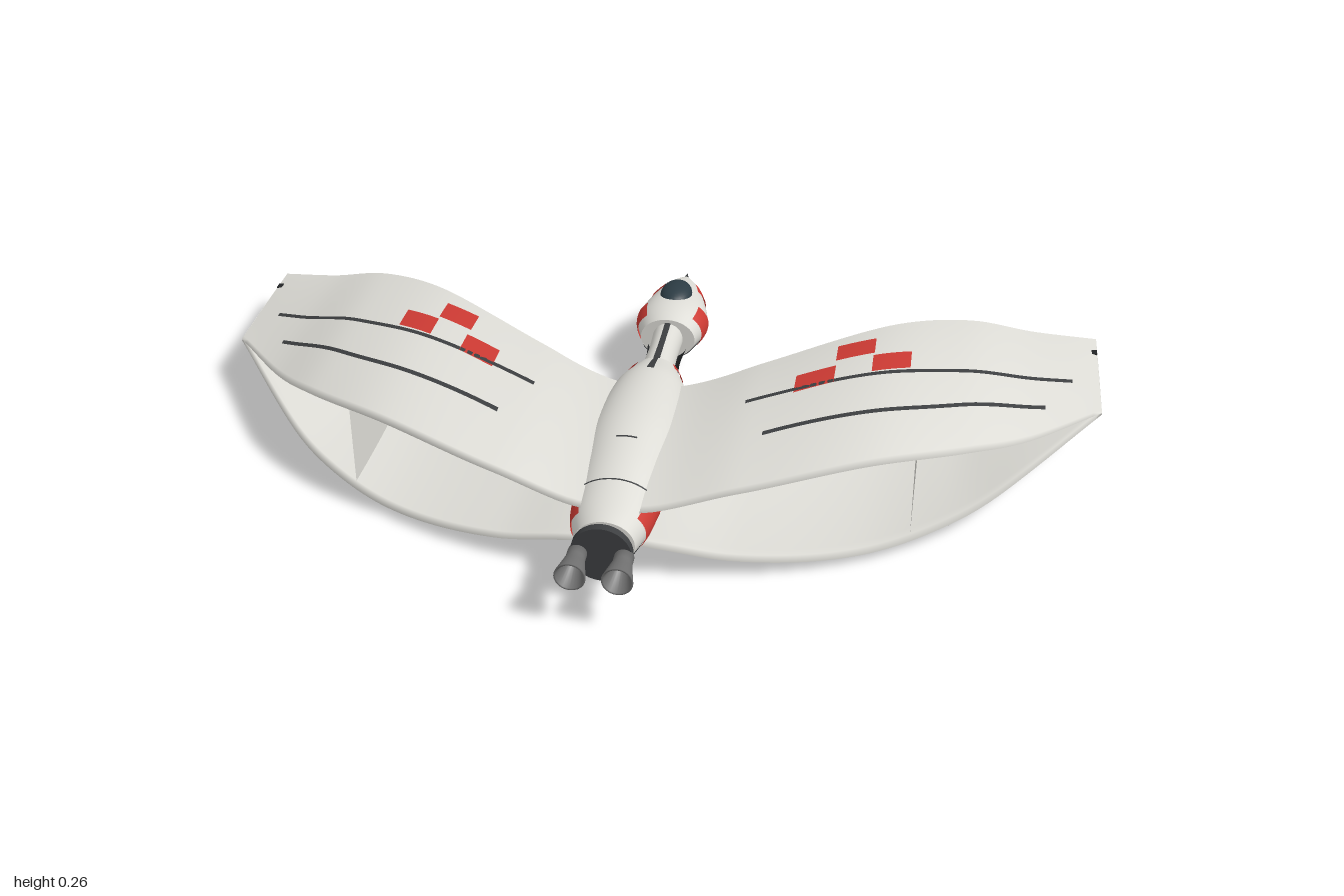
import * as THREE from 'three';

const COLORS = { white: 0xdddcd6, red: 0xcc3a33, dark: 0x3c3e40, black: 0x222426, glass: 0x2c3c44, metal: 0x707070 };
const mats = {};
for (const k in COLORS) mats[k] = new THREE.MeshStandardMaterial({ color: COLORS[k], side: THREE.DoubleSide });

// smooth interpolation through a table of rows [x, a, b...]; k picks the column
function curve(rows, x, k = 1) {
  const n = rows.length - 1;
  let i = 0;
  while (i < n - 1 && x > rows[i + 1][0]) i++;
  const slope = (j) => {
    const a = rows[Math.max(j - 1, 0)], b = rows[Math.min(j + 1, n)];
    return (b[k] - a[k]) / (b[0] - a[0]);
  };
  const p = rows[i], q = rows[i + 1], h = q[0] - p[0];
  const t = Math.min(Math.max((x - p[0]) / h, 0), 1), t2 = t * t, t3 = t2 * t;
  return (2 * t3 - 3 * t2 + 1) * p[k] + (t3 - 2 * t2 + t) * h * slope(i)
    + (3 * t2 - 2 * t3) * q[k] + (t3 - t2) * h * slope(i + 1);
}

// surface from fn(u, v) -> [x, y, z], facing dv x du unless flipped
function grid(fn, nu, nv, flip) {
  const pos = [], idx = [];
  for (let i = 0; i <= nu; i++) for (let j = 0; j <= nv; j++) pos.push(...fn(i / nu, j / nv));
  for (let i = 0; i < nu; i++) for (let j = 0; j < nv; j++) {
    const a = i * (nv + 1) + j, b = a + 1, c = a + nv + 2, d = a + nv + 1;
    idx.push(...(flip ? [a, c, b, a, d, c] : [a, b, c, a, c, d]));
  }
  const g = new THREE.BufferGeometry();
  g.setAttribute('position', new THREE.Float32BufferAttribute(pos, 3));
  g.setIndex(idx);
  g.computeVertexNormals();
  return g;
}
const lerp = THREE.MathUtils.lerp;
const AXIS = 0.125;

// wing plan and height along the span
const LEAD = [[0, -0.025], [0.1, -0.04], [0.2, -0.07], [0.4, -0.175], [0.66, -0.34], [0.85, -0.425], [1, -0.49]];
const TRAIL = [[0, 0.455], [0.1, 0.45], [0.31, 0.405], [0.5, 0.33], [0.66, 0.23], [0.79, 0.11], [1, -0.16]];
const UPPER = [[0, 0.155], [0.1, 0.17], [0.25, 0.208], [0.5, 0.24], [0.7, 0.208], [0.85, 0.155], [1, 0.112]];
const LOWER = [[0, 0.09], [0.1, 0.075], [0.25, 0.042], [0.5, 0.02], [0.7, 0.04], [0.85, 0.075], [1, 0.108]];

function skinY(level, x, t, inner) {
  const bow = 4 * t * (1 - t);
  const camber = 0.02 * bow * Math.min(1, (1.02 - x) * 3);
  const thick = inner ? 0.004 + 0.009 * bow * Math.min(1, (1.1 - x) * 3) : 0;
  return curve(level > 0 ? UPPER : LOWER, x) + level * (camber - thick);
}
function onSkin(level, x, z) {
  const l = curve(LEAD, x), t = (z - l) / (curve(TRAIL, x) - l);
  return skinY(level, x, Math.min(Math.max(t, 0), 1), false) + level * 0.002;
}

// fuselage sections: z, half width, half height
const BODY = [[-0.14, 0.05, 0.045], [-0.04, 0.085, 0.073], [0.15, 0.105, 0.09], [0.3, 0.096, 0.08], [0.4, 0.086, 0.066], [0.45, 0.08, 0.059], [0.515, 0.062, 0.053]];
const NECK = [[-0.32, 0.036, 0.04], [-0.22, 0.034, 0.04], [-0.11, 0.04, 0.045]];
const HEAD = [[-0.605, 0.007, 0.006], [-0.55, 0.036, 0.03], [-0.47, 0.066, 0.05], [-0.38, 0.083, 0.06], [-0.305, 0.064, 0.05]];
const KEEL = [[-0.32, 0.05, 0.05], [-0.22, 0.042, 0.05], [-0.11, 0.056, 0.056]];

export function createModel() {
  const model = new THREE.Group();
  const add = (name, geo, mat, parent = model) => {
    const m = new THREE.Mesh(geo, mats[mat]);
    m.name = name;
    parent.add(m);
    return m;
  };

  // patch of a fuselage part between two z values and two angles from the top
  const patch = (name, rows, mat, z0, z1, a0, a1, grow = 0.002) => add(name, grid((u, v) => {
    const z = lerp(z0, z1, u), a = Math.PI * lerp(a0, a1, v);
    return [(curve(rows, z, 1) + grow) * Math.sin(a), AXIS + (curve(rows, z, 2) + grow) * Math.cos(a), z];
  }, Math.max(1, Math.ceil((z1 - z0) * 60)), Math.ceil((a1 - a0) * 24), true), mat);

  const hull = (name, rows) => {
    const z0 = rows[0][0], z1 = rows[rows.length - 1][0];
    patch(name, rows, 'white', z0, z1, -1, 1, 0);
    [z0, z1].forEach((z, i) => add(name + 'End', grid((u, v) => {
      const a = v * Math.PI * 2;
      return [u * curve(rows, z, 1) * Math.sin(a), AXIS + u * curve(rows, z, 2) * Math.cos(a), z];
    }, 1, 40, i === 0), 'white'));
  };
  hull('body', BODY);
  hull('neck', NECK);
  hull('head', HEAD);

  // dark underside
  patch('bodyBelly', BODY, 'black', -0.14, 0.515, 0.69, 1.31);
  patch('neckBelly', KEEL, 'black', -0.32, -0.11, 0.62, 1.38);
  patch('headBelly', HEAD, 'black', -0.6, -0.305, 0.67, 1.33);

  // spine strip and seams
  patch('neckSpine', NECK, 'dark', -0.305, -0.13, -0.06, 0.06);
  patch('bodySpine', BODY, 'dark', -0.14, -0.05, -0.03, 0.03);
  patch('rearSeam', BODY, 'dark', 0.385, 0.389, -0.4, 0.4);
  patch('hatchSeam', BODY, 'dark', 0.25, 0.255, -0.07, 0.07);

  // red side markings
  for (const s of [1, -1]) {
    const side = (name, rows, z0, z1, a0, a1) =>
      patch(name, rows, 'red', z0, z1, Math.min(s * a0, s * a1), Math.max(s * a0, s * a1), 0.003);
    side('rearBand', BODY, 0.375, 0.472, 0.28, 0.69);
    side('shoulderMark', BODY, -0.135, -0.105, 0.25, 0.65);
    side('flankMark', BODY, 0.0, 0.15, 0.4, 0.6);
    side('cheekMark', HEAD, -0.39, -0.335, 0.25, 0.67);
    side('noseMark', HEAD, -0.53, -0.475, 0.25, 0.67);
  }

  // canopy and nose spike
  const canopy = add('canopy', new THREE.SphereGeometry(1, 24, 16), 'glass');
  canopy.scale.set(0.038, 0.025, 0.06);
  canopy.position.set(0, 0.172, -0.437);
  const spike = add('noseSpike', new THREE.ConeGeometry(0.011, 0.045, 16), 'dark');
  spike.rotation.x = -Math.PI / 2;
  spike.position.set(0, AXIS, -0.61);

  // engine mount and nozzles
  const disc = (name, r, z0, z1, mat) => {
    const m = add(name, new THREE.CylinderGeometry(r, r, z1 - z0, 32), mat);
    m.rotation.x = Math.PI / 2;
    m.position.set(0, AXIS, (z0 + z1) / 2);
  };
  disc('engineShaft', 0.03, 0.5, 0.54, 'metal');
  disc('enginePlate', 0.063, 0.535, 0.553, 'dark');
  const bell = [[0, 0], [0.02, 0], [0.02, 0.025], [0.024, 0.045], [0.032, 0.082], [0.028, 0.082], [0.015, 0.03], [0, 0.03]]
    .map((p) => new THREE.Vector2(p[0], p[1]));
  for (const s of [1, -1]) {
    const nozzle = add('nozzle', new THREE.LatheGeometry(bell, 24), 'metal');
    nozzle.rotation.x = Math.PI / 2;
    nozzle.position.set(s * 0.047, AXIS, 0.55);
  }

  // wings: paired upper and lower skins that meet at the tip
  for (const s of [1, -1]) {
    const wing = new THREE.Group();
    wing.name = s > 0 ? 'leftWing' : 'rightWing';
    model.add(wing);
    for (const level of [1, -1]) {
      add(level > 0 ? 'upperSkin' : 'lowerSkin', grid((u, v) => {
        const x = lerp(0.03, 1, u), t = v < 0.5 ? 2 * v : 2 - 2 * v;
        return [s * x, skinY(level, x, t, v > 0.5), lerp(curve(LEAD, x), curve(TRAIL, x), t)];
      }, 48, 48, s * level < 0), 'white', wing);
    }

    // upright web between the skins
    add('web', grid((u, v) => {
      const z = lerp(-0.28, 0.25, u);
      return [s * 0.6, lerp(onSkin(-1, 0.6, z) + 0.006, onSkin(1, 0.6, z) - 0.006, v), z];
    }, 16, 1, s < 0), 'white', wing);

    // markings laid on a skin along a line z(x)
    const decal = (name, mat, level, x0, x1, line, width) => add(name, grid((u, v) => {
      const x = lerp(x0, x1, u), z = line(x) + (v - 0.5) * width;
      return [s * x, onSkin(level, x, z), z];
    }, Math.ceil((x1 - x0) * 50), 4, s * level < 0), mat, wing);

    const FRONT = [[0.23, 0.1], [0.62, -0.055], [0.935, -0.245]];
    const REAR = [[0.28, 0.23], [0.59, 0.105], [0.87, -0.09]];
    decal('frontStripe', 'dark', 1, 0.23, 0.935, (x) => curve(FRONT, x), 0.014);
    decal('rearStripe', 'dark', 1, 0.28, 0.87, (x) => curve(REAR, x), 0.014);
    for (const [xc, zc] of [[0.45, -0.115], [0.53, -0.065], [0.37, 0.02], [0.37, -0.08 + 0.005]].slice(0, 3))
      decal('checker', 'red', 1, xc - 0.041, xc + 0.041, (x) => zc - 0.45 * (x - xc), 0.075);

    // short slots under the lower skin
    for (const rows of [FRONT, REAR]) for (const x of [0.35, 0.5, 0.65, 0.8])
      decal('slot', 'black', -1, x - 0.03, x + 0.03, (q) => curve(rows, q), 0.014);

    // tip light
    const light = add('tipLight', new THREE.BoxGeometry(0.016, 0.014, 0.018), 'black', wing);
    light.position.set(s * 0.991, 0.11, -0.42);
  }
  return model;
}
